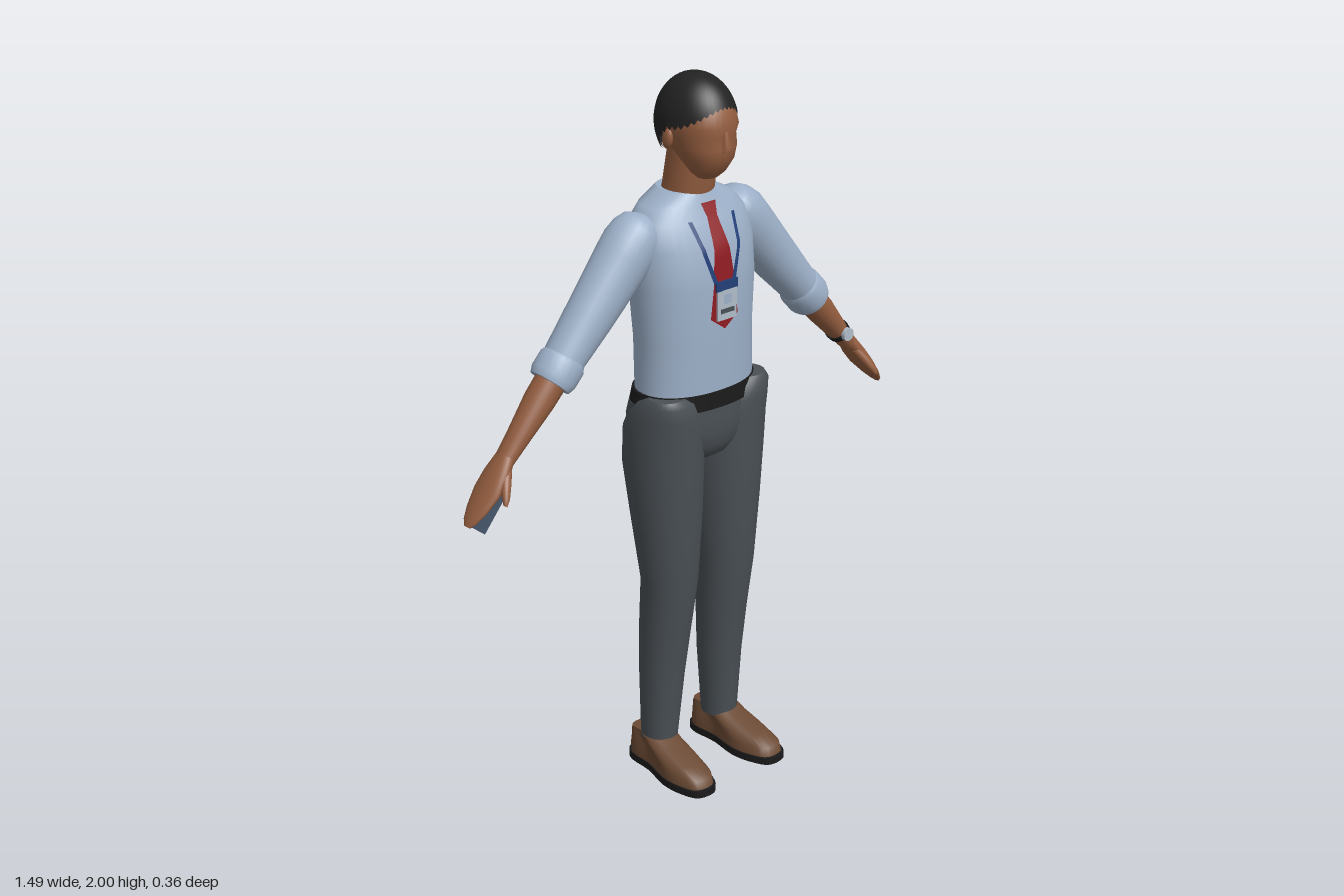
import * as THREE from 'three';

const paint = (name, color) => {
  const m = new THREE.MeshStandardMaterial({ color });
  m.name = name;
  return m;
};
const SEG = 36;
const V = (x, y, z) => new THREE.Vector3(x, y, z);

// Skins a stack of closed rings, with flat caps at both ends
function skin(rings) {
  const n = rings[0].length, pos = [], idx = [];
  rings.forEach(r => r.forEach(p => pos.push(p.x, p.y, p.z)));
  for (let i = 0; i < rings.length - 1; i++) {
    for (let j = 0; j < n; j++) {
      const k = (j + 1) % n, a = i * n + j, b = i * n + k;
      idx.push(a, a + n, b, b, a + n, b + n);
    }
  }
  [rings[0], rings[rings.length - 1]].forEach((r, top) => {
    const base = pos.length / 3, c = V(0, 0, 0);
    r.forEach(p => { pos.push(p.x, p.y, p.z); c.add(p); });
    c.divideScalar(n);
    pos.push(c.x, c.y, c.z);
    for (let j = 0; j < n; j++) {
      const k = (j + 1) % n;
      idx.push(base + n, base + (top ? k : j), base + (top ? j : k));
    }
  });
  const g = new THREE.BufferGeometry();
  g.setAttribute('position', new THREE.Float32BufferAttribute(pos, 3));
  g.setIndex(idx);
  g.computeVertexNormals();
  return g;
}

const pw = (v, e) => Math.sign(v) * Math.abs(v) ** (2 / e);

// Upright body form, rows from bottom to top: [y, centre x, half width, front z, back z]
const body = (rows, e = 2.2) => skin(rows.map(([y, cx, rx, zf, zb]) =>
  Array.from({ length: SEG }, (_, j) => {
    const a = j / SEG * Math.PI * 2;
    return V(cx + rx * pw(Math.cos(a), e), y, (zf + zb) / 2 + (zf - zb) / 2 * pw(Math.sin(a), e));
  })));

// Limb form along direction (dx, dy): rows [x, y, z, thickness radius, z radius]
function limb(rows, dx, dy) {
  const l = Math.hypot(dx, dy), ux = dy / l, uy = -dx / l;
  return skin(rows.map(([x, y, z, ru, rz]) => Array.from({ length: 24 }, (_, j) => {
    const a = j / 24 * Math.PI * 2, c = Math.cos(a) * ru;
    return V(x + ux * c, y + uy * c, z + rz * Math.sin(a));
  })));
}

// Copy reflected in x, with the winding kept outward
function mirrored(geo) {
  const g = geo.clone().scale(-1, 1, 1), i = g.index.array;
  for (let k = 0; k < i.length; k += 3) [i[k], i[k + 1]] = [i[k + 1], i[k]];
  g.computeVertexNormals();
  return g;
}

const TORSO = [
  [1.15, 0, 0.178, 0.088, -0.142], [1.3, 0, 0.176, 0.09, -0.15], [1.45, 0, 0.187, 0.09, -0.158],
  [1.555, 0, 0.187, 0.078, -0.158], [1.62, 0, 0.18, 0.044, -0.152], [1.66, 0, 0.14, 0.026, -0.145],
  [1.692, 0, 0.075, 0.014, -0.135],
];

// Front surface of the shirt at (x, y)
function chestZ(x, y) {
  const i = Math.max(1, TORSO.findIndex(r => r[0] >= y));
  const a = TORSO[i - 1], b = TORSO[i], t = (y - a[0]) / (b[0] - a[0]);
  const [, , rx, zf, zb] = a.map((v, k) => v + (b[k] - v) * t);
  return (zf + zb) / 2 + (zf - zb) / 2 * (1 - Math.abs(x / rx) ** 2.2) ** (1 / 2.2);
}

// Cloth strip lying on the shirt: rows [x, y, half width] from top to bottom
function strip(rows, lift) {
  const pos = [], idx = [], N = 6, fine = [];
  rows.slice(1).forEach((b, i) => {
    for (let k = 0; k < N; k++) fine.push(rows[i].map((v, c) => v + (b[c] - v) * k / N));
  });
  fine.push(rows[rows.length - 1]);
  fine.forEach(([x, y, h], i) => {
    [-h, 0, h].forEach(o => pos.push(x + o, y, chestZ(x + o, y) + lift));
    if (i) for (let c = 0; c < 2; c++) {
      const a = (i - 1) * 3 + c, b = i * 3 + c;
      idx.push(a, b, a + 1, a + 1, b, b + 1);
    }
  });
  const g = new THREE.BufferGeometry();
  g.setAttribute('position', new THREE.Float32BufferAttribute(pos, 3));
  g.setIndex(idx);
  g.computeVertexNormals();
  return g;
}

// Shoe plan outline, stretched between two z limits at each height
const half = [[0.046, -0.03], [0.061, 0.06], [0.052, 0.125], [0.028, 0.172]];
const heel = [[0.028, -0.14], [0.046, -0.11]];
const flip = list => list.map(([x, z]) => [-x, z]).reverse();
const outline = new THREE.CatmullRomCurve3(
  [...half, ...flip(half), ...flip(heel), ...heel].map(([x, z]) => V(x, 0, z)), true).getPoints(40).slice(0, 40);
const shoeForm = rows => skin(rows.map(([y, w, zf, zb]) =>
  outline.map(p => V(p.x * w, y, zb + (p.z + 0.14) / 0.312 * (zf - zb))))).rotateY(0.06).translate(0.123, 0, 0);

// Hair cap whose lower edge drops from the forehead to the nape
function hairCap() {
  const g = new THREE.SphereGeometry(1, 40, 20), p = g.attributes.position, uv = g.attributes.uv;
  for (let i = 0; i < p.count; i++) {
    const a = uv.getX(i) * Math.PI * 2, t = 1 - uv.getY(i), f = Math.sin(a);
    const low = f > 0 ? 1.865 + 0.055 * f * f : 1.865 - 0.075 * Math.min(1, -f * 1.5);
    const th = t * Math.acos((low - 1.87) / 0.13);
    const r = Math.sin(th);
    p.setXYZ(i, -Math.cos(a) * r * 0.099, 1.87 + 0.13 * Math.cos(th), -0.017 + f * r * 0.12);
  }
  g.computeVertexNormals();
  return g;
}

export function createModel() {
  const root = new THREE.Group();
  root.name = 'standingMan';
  root.position.x = -0.01;
  const skinTone = paint('skin', 0x935d3f), hair = paint('hair', 0x222222), shirt = paint('shirt', 0x9db0c8);
  const trousers = paint('trousers', 0x4a5055), leather = paint('shoeLeather', 0x6b4a34);
  const black = paint('black', 0x1b1b1c), red = paint('tieRed', 0x8e1c22), navy = paint('lanyardBlue', 0x223f78);
  const silver = paint('silver', 0xb0bcc8), slate = paint('phoneSlate', 0x46566a);
  [hair, red, navy].forEach(m => { m.side = THREE.DoubleSide; });

  const add = (name, geo, mat, parent = root) => {
    const m = new THREE.Mesh(geo, mat);
    m.name = name;
    parent.add(m);
    return m;
  };
  const pair = (name, geo, mat) => {
    add('left' + name, geo, mat);
    add('right' + name, mirrored(geo), mat);
  };

  // Head and neck
  add('head', body([
    [1.733, 0, 0.028, 0.052, 0.0], [1.75, 0, 0.047, 0.072, -0.02], [1.785, 0, 0.068, 0.094, -0.05],
    [1.82, 0, 0.08, 0.101, -0.09], [1.85, 0, 0.085, 0.095, -0.11], [1.875, 0, 0.089, 0.104, -0.115],
    [1.92, 0, 0.085, 0.09, -0.115], [1.96, 0, 0.055, 0.055, -0.08],
  ]), skinTone);
  add('nose', body([[1.81, 0, 0.017, 0.108, 0.07], [1.825, 0, 0.015, 0.112, 0.07], [1.87, 0, 0.008, 0.1, 0.07]]), skinTone);
  add('hair', hairCap(), hair);
  add('neck', body([[1.66, 0, 0.073, 0.012, -0.122], [1.7, 0, 0.068, 0.02, -0.112], [1.82, 0, 0.063, 0.035, -0.09]]), skinTone);
  pair('Ear', new THREE.SphereGeometry(1, 14, 10).scale(0.011, 0.027, 0.017).rotateX(0.2).translate(0.09, 1.838, -0.025), skinTone);

  // Shirt, belt and trousers
  add('shirtBody', body(TORSO), shirt);
  add('belt', body([[1.112, 0, 0.192, 0.091, -0.158], [1.16, 0, 0.184, 0.091, -0.15]]), black);
  add('trouserSeat', body([
    [0.945, 0, 0.03, 0.03, -0.06], [0.965, 0, 0.09, 0.062, -0.12], [1.0, 0, 0.15, 0.08, -0.16],
    [1.04, 0, 0.185, 0.087, -0.174], [1.08, 0, 0.193, 0.087, -0.171], [1.125, 0, 0.19, 0.087, -0.156],
  ]), trousers);
  pair('TrouserLeg', body([
    [0.088, 0.114, 0.05, 0.004, -0.1], [0.3, 0.108, 0.062, 0.024, -0.106], [0.45, 0.105, 0.071, 0.044, -0.102],
    [0.6, 0.104, 0.078, 0.067, -0.09], [0.8, 0.106, 0.095, 0.08, -0.122], [0.95, 0.109, 0.104, 0.087, -0.145],
    [1.05, 0.114, 0.101, 0.09, -0.135], [1.1, 0.121, 0.092, 0.092, -0.105], [1.14, 0.133, 0.073, 0.09, -0.06],
    [1.158, 0.142, 0.05, 0.075, -0.02],
  ], 2.1), trousers);

  // Shoes
  pair('ShoeSole', shoeForm([[0, 1.04, 0.176, -0.142], [0.021, 1.04, 0.176, -0.142]]), black);
  pair('ShoeUpper', shoeForm([
    [0.02, 0.98, 0.168, -0.135], [0.045, 0.96, 0.16, -0.136], [0.065, 0.88, 0.11, -0.135],
    [0.085, 0.82, 0.04, -0.135], [0.102, 0.78, 0.0, -0.13],
  ]), leather);

  // Arms: sleeve, rolled cuff, forearm, hand and thumb
  const zc = -0.058;
  pair('Sleeve', limb([
    [0.135, 1.628, zc, 0.03, 0.035], [0.148, 1.618, zc, 0.055, 0.058], [0.165, 1.598, zc, 0.07, 0.07],
    [0.19, 1.57, zc, 0.078, 0.074], [0.22, 1.535, zc, 0.077, 0.073], [0.33, 1.41, zc, 0.067, 0.063], [0.44, 1.29, zc, 0.053, 0.055],
  ], 0.66, -0.75), shirt);
  pair('Cuff', limb([
    [0.412, 1.318, zc, 0.054, 0.056], [0.422, 1.307, zc, 0.063, 0.063], [0.452, 1.275, zc, 0.063, 0.063], [0.465, 1.261, zc, 0.056, 0.057],
  ], 0.67, -0.74), shirt);
  pair('Forearm', limb([
    [0.44, 1.287, zc, 0.043, 0.043], [0.5, 1.222, zc, 0.041, 0.042], [0.57, 1.143, zc, 0.03, 0.034], [0.63, 1.077, zc, 0.022, 0.029],
  ], 0.67, -0.74), skinTone);
  pair('Hand', limb([
    [0.612, 1.1, zc, 0.022, 0.03], [0.645, 1.057, zc, 0.023, 0.044], [0.675, 1.02, zc, 0.02, 0.048],
    [0.71, 0.98, zc, 0.014, 0.038], [0.732, 0.955, zc, 0.009, 0.025], [0.742, 0.942, zc, 0.004, 0.012],
  ], 0.64, -0.77), skinTone);
  pair('Thumb', limb([
    [0.625, 1.075, -0.04, 0.014, 0.018], [0.645, 1.045, -0.018, 0.014, 0.016],
    [0.66, 1.018, 0.0, 0.011, 0.012], [0.668, 1.0, 0.008, 0.005, 0.006],
  ], 0.5, -0.85), skinTone);

  // Wristwatch on the left arm
  add('watchStrap', limb([[0.571, 1.142, zc, 0.034, 0.038], [0.584, 1.128, zc, 0.032, 0.036]], 0.67, -0.74), black);
  add('watchFace', new THREE.CylinderGeometry(0.019, 0.019, 0.012, 20).rotateX(Math.PI / 2).translate(0.578, 1.135, -0.02), silver);

  // Phone held in the right palm
  const phone = new THREE.Group();
  phone.name = 'phone';
  phone.position.set(-0.688, 0.985, -0.046);
  phone.rotation.z = -0.69;
  root.add(phone);
  add('phoneCase', new THREE.BoxGeometry(0.012, 0.125, 0.075), slate, phone);
  add('phoneScreen', new THREE.BoxGeometry(0.004, 0.115, 0.067), black, phone).position.x = 0.007;

  // Tie, lanyard and badge
  add('tie', strip([[0, 1.665, 0.025], [0, 1.63, 0.017], [0, 1.47, 0.036], [0, 1.368, 0.047], [0, 1.335, 0.001]], 0.006), red);
  [-1, 1].forEach(s => add(s > 0 ? 'leftLanyard' : 'rightLanyard',
    strip([[s * 0.074, 1.628, 0.006], [s * 0.058, 1.545, 0.006], [s * 0.03, 1.462, 0.007]], 0.009), navy));
  const plate = (name, w, h, y, z, mat, x = 0) =>
    add(name, new THREE.BoxGeometry(w, h, 0.006), mat).position.set(x, y, z);
  plate('badgeClip', 0.074, 0.026, 1.457, 0.102, navy);
  plate('badgeCard', 0.066, 0.082, 1.404, 0.102, silver);
  plate('badgePanel', 0.046, 0.012, 1.388, 0.104, trousers);
  plate('badgePhoto', 0.026, 0.026, 1.42, 0.103, shirt);

  const model = new THREE.Group();
  model.name = 'man';
  model.add(root);
  return model;
}
